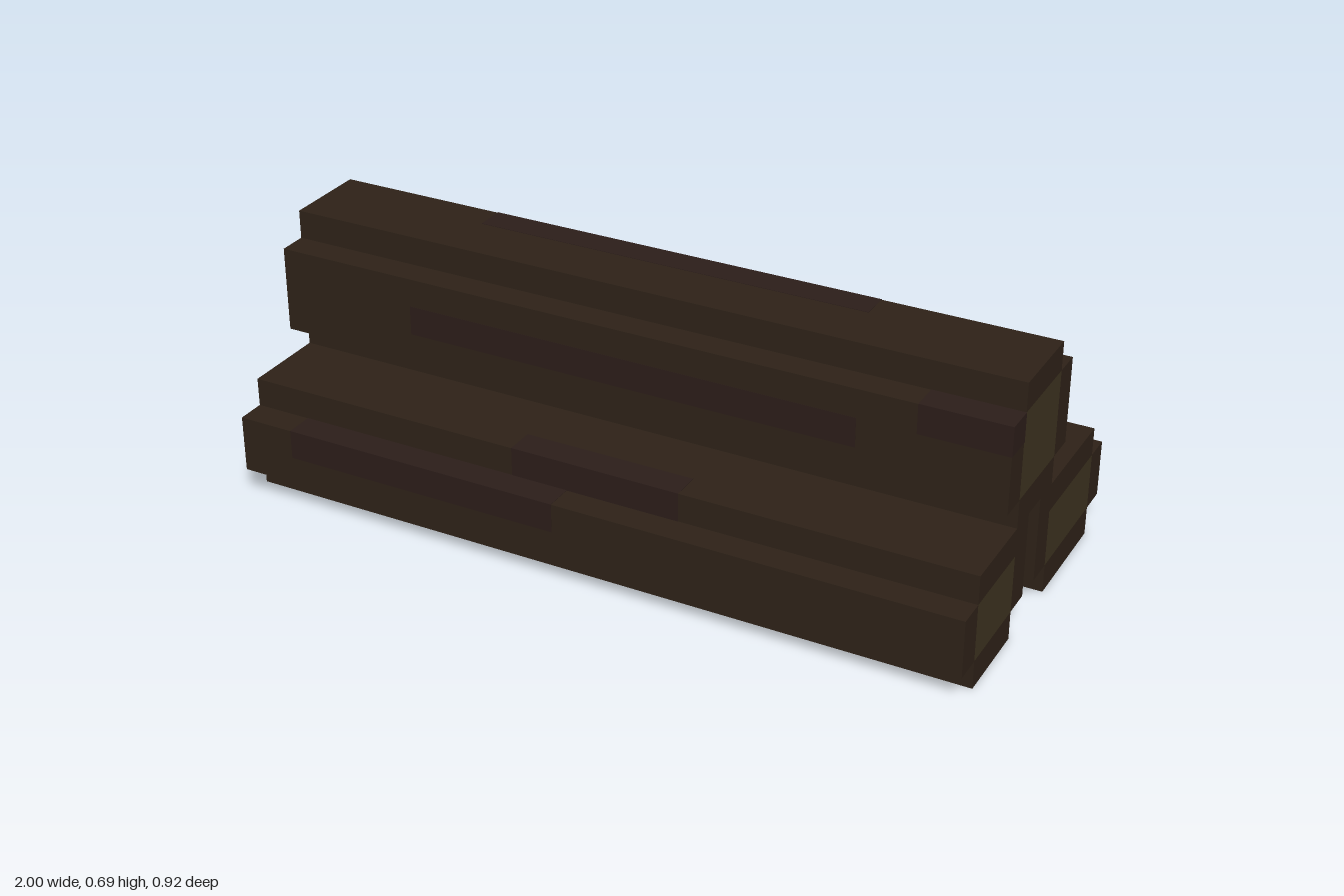
import * as THREE from 'three';

const U = 1 / 13; // one block unit
const HALF = 13; // half length of a log, in units

const bark = new THREE.MeshStandardMaterial({ color: 0x2d2117 });
const wood = new THREE.MeshStandardMaterial({ color: 0x3c311f });
const patch = new THREE.MeshStandardMaterial({ color: 0x2b1d19 });

// Box given by its limits in units, optionally swollen a little to stand proud
function block(name, material, [x0, x1], [y0, y1], [z0, z1], grow = 0) {
  const mesh = new THREE.Mesh(
    new THREE.BoxGeometry((x1 - x0) * U + grow, (y1 - y0) * U + grow, (z1 - z0) * U + grow),
    material
  );
  mesh.position.set((x0 + x1) * U / 2, (y0 + y1) * U / 2, (z0 + z1) * U / 2);
  mesh.name = name;
  return mesh;
}

// Log: bark shell swept along x around a lighter wooden core
function log(name, outline, coreY, coreZ) {
  const group = new THREE.Group();
  group.name = name;
  const point = ([z, y]) => new THREE.Vector2(-z * U, y * U);
  const shape = new THREE.Shape(outline.map(point));
  const [y0, y1] = coreY, [z0, z1] = coreZ;
  shape.holes.push(new THREE.Path([[z0, y0], [z0, y1], [z1, y1], [z1, y0]].map(point)));
  const geometry = new THREE.ExtrudeGeometry(shape, { depth: 2 * HALF * U, bevelEnabled: false });
  geometry.translate(0, 0, -HALF * U).rotateY(Math.PI / 2);
  const shell = new THREE.Mesh(geometry, bark);
  shell.name = 'bark';
  group.add(shell, block('core', wood, [-HALF, HALF], coreY, coreZ));
  return group;
}

export function createModel() {
  const model = new THREE.Group();
  model.name = 'logPile';

  // Three stacked logs, outlines as [z, y]
  model.add(
    log('frontLog',
      [[2, 0], [5, 0], [5, 1], [6, 1], [6, 3], [5, 3], [5, 4], [1, 4], [1, 1], [2, 1]],
      [1, 3], [2, 5]),
    log('backLog',
      [[-5, 0], [-1, 0], [-1, 1], [0, 1], [0, 4], [-5, 4], [-5, 3], [-6, 3], [-6, 1], [-5, 1]],
      [1, 3], [-5, -1]),
    log('topLog',
      [[-1, 4], [2, 4], [2, 5], [3, 5], [3, 8], [2, 8], [2, 9], [-1, 9], [-1, 8], [-2, 8], [-2, 5], [-1, 5]],
      [5, 8], [-1, 2])
  );

  // Recessed strip closing the gap under the top log
  model.add(block('gapFiller', bark, [1 - HALF, HALF - 1], [3, 4], [0, 1]));

  // Discoloured bark strips: x, y and z limits
  const strips = [
    [[-8, 8], [6, 7], [2, 3]],
    [[10, 13], [7, 8], [2, 3]],
    [[-3, 3], [3, 4], [4, 5]],
    [[-11, -1], [2, 3], [5, 6]],
    [[-7, 7], [8, 9], [-1, 0]],
    [[-7, 7], [3, 4], [-3, -2]],
  ];
  for (const [x, y, z] of strips) model.add(block('barkPatch', patch, x, y, z, 0.002));

  return model;
}
